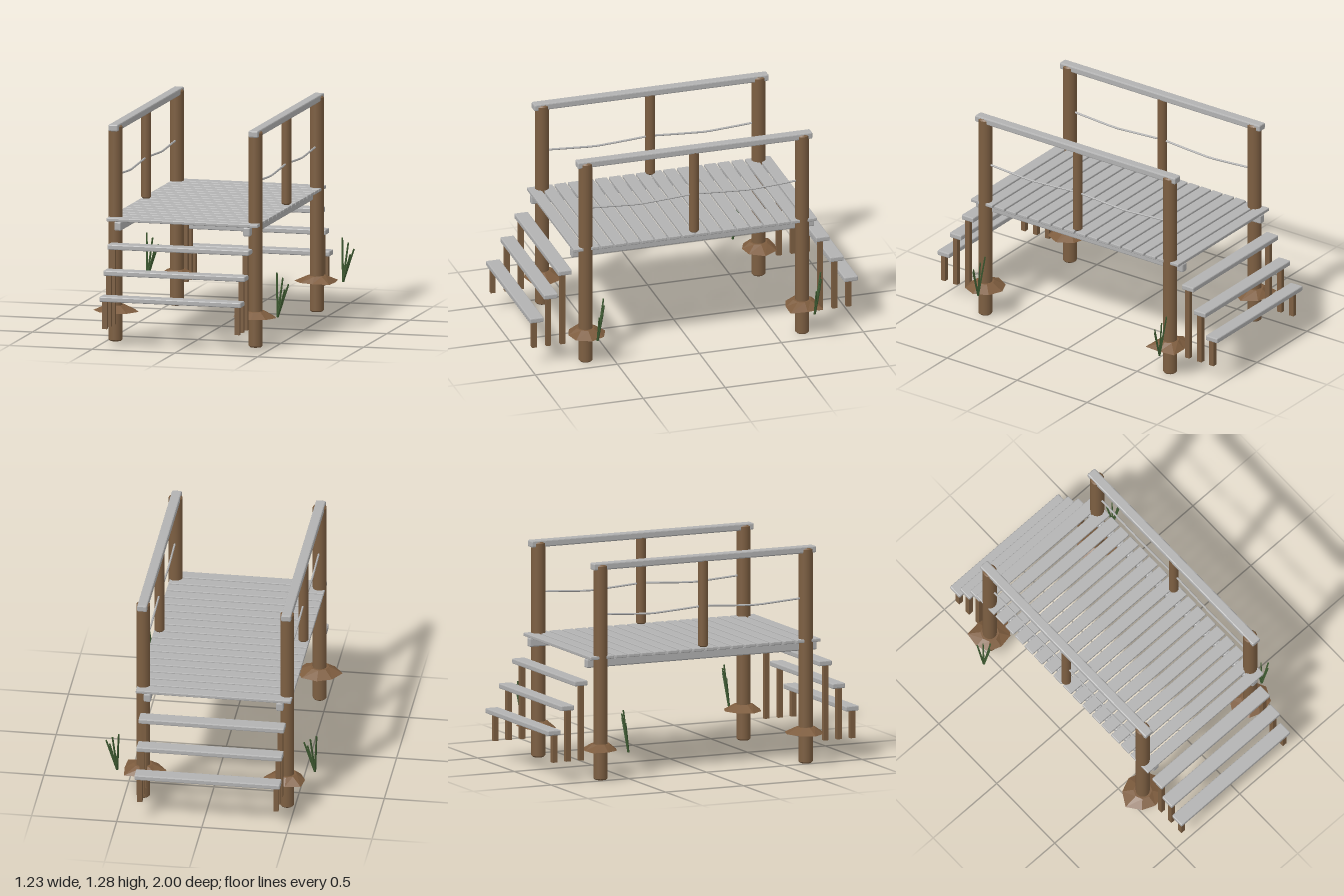
import * as THREE from 'three';
import { RoundedBoxGeometry } from 'three/addons/geometries/RoundedBoxGeometry.js';

const CX = -0.03; // centre line of the bridge

export function createModel() {
  const root = new THREE.Group();
  root.name = 'footbridge';
  const mat = (name, color, flatShading = false) => {
    const m = new THREE.MeshStandardMaterial({ color, flatShading });
    m.name = name;
    return m;
  };
  const plankGrey = mat('weatheredPlank', 0xb2b2b2, true);
  const logBrown = mat('logBrown', 0x7d5f42);
  const earthBrown = mat('earthBrown', 0x7d5c3e, true);
  const grassGreen = mat('grassGreen', 0x3e5a31, true);

  const add = (name, geo, material, x = 0, y = 0, z = 0) => {
    const m = new THREE.Mesh(geo, material);
    m.name = name;
    m.position.set(x, y, z);
    root.add(m);
    return m;
  };
  // Board with slightly chamfered edges, given by its bottom and top heights
  const board = (name, w, y0, y1, d, x, z, c = 0.005) =>
    add(name, new RoundedBoxGeometry(w, y1 - y0, d, 1, c), plankGrey, x, (y0 + y1) / 2, z);
  // Round log with softened ends
  const log = (name, r, y0, y1, x, z) => {
    const c = 0.008;
    const corners = [[0, y0], [r - c, y0], [r, y0 + c], [r, y1 - c], [r - c, y1], [0, y1]];
    const pts = [];
    corners.forEach(([a, b], i) => {
      // doubled corners keep the rims crisp
      pts.push(new THREE.Vector2(a, b));
      if (i > 0 && i < 5) pts.push(new THREE.Vector2(a, b));
    });
    return add(name, new THREE.LatheGeometry(pts, 16), logBrown, x, 0, z);
  };

  // Deck planks
  const pitch = 0.083;
  for (let i = 0; i < 18; i++) {
    board('deckPlank', 0.912, 0.713, 0.733, 0.071, CX, (i - 8.5) * pitch, 0.004);
  }

  for (const side of [-1, 1]) {
    const x = CX + side * 0.423;
    // Support beam, handrail and posts
    board('beam', 0.042, 0.66, 0.712, 1.48, CX + side * 0.389, 0, 0.007);
    board('handrail', 0.058, 1.24, 1.28, 1.43, x, 0, 0.007);
    for (const z of [-0.66, 0.66]) log('post', 0.041, 0, 1.27, x, z);
    log('middlePost', 0.029, 0.735, 1.26, x, 0);

    // Sagging rope between the posts
    for (const end of [-1, 1]) {
      const path = new THREE.CurvePath();
      const p = [[0.64, 0.974], [0.5, 0.965], [0.34, 0.955], [0.18, 0.964], [0, 0.976]]
        .map(([z, y]) => new THREE.Vector3(x, y, z * end));
      for (let i = 0; i < 4; i++) path.add(new THREE.LineCurve3(p[i], p[i + 1]));
      add('rope', new THREE.TubeGeometry(path, 12, 0.006, 6), plankGrey);
    }
  }

  // Steps at both ends, each on two square legs
  for (const end of [-1, 1]) {
    for (let i = 0; i < 3; i++) {
      const z = end * (0.958 - i * 0.086);
      const y = 0.281 + i * 0.14;
      board('step', 0.855, y, y + 0.031, 0.084, CX, z, 0.006);
      for (const side of [-1, 1]) {
        const h = y - 0.119 + 0.004;
        add('stepLeg', new THREE.BoxGeometry(0.029, h, 0.03), logBrown,
          CX + side * 0.4, 0.119 + h / 2, z + 0.01);
      }
    }
  }

  // Uneven earth mounds round the posts; radii run round the rim
  const mounds = [
    [-0.453, 0.66, [0.14, 0.13, 0.11, 0.11, 0.135, 0.12, 0.12, 0.13]],
    [0.393, 0.66, [0.125, 0.12, 0.105, 0.11, 0.137, 0.12, 0.12, 0.12]],
    [-0.453, -0.66, [0.14, 0.12, 0.1, 0.1, 0.105, 0.13, 0.1, 0.12]],
    [0.393, -0.66, [0.11, 0.145, 0.1, 0.11, 0.137, 0.12, 0.1, 0.14]],
  ];
  for (const [x, z, radii] of mounds) {
    const geo = new THREE.CylinderGeometry(0.055, 1, 0.037, 8);
    const p = geo.attributes.position;
    for (let i = 0; i < p.count; i++) {
      const a = Math.atan2(p.getZ(i), p.getX(i));
      const len = Math.hypot(p.getX(i), p.getZ(i));
      if (len < 0.5) continue;
      const r = radii[(Math.round(a / (Math.PI / 4)) + 8) % 8];
      p.setX(i, r * Math.cos(a));
      p.setZ(i, r * Math.sin(a));
    }
    geo.computeVertexNormals();
    add('earthMound', geo, earthBrown, x, 0.1935, z);
  }

  // Grass tufts: blade tips relative to the root
  const tips = [[-0.015, 0.255, -0.04], [0.023, 0.228, -0.032], [0.063, 0.195, -0.012], [0.045, 0.165, 0.004]];
  const up = new THREE.Vector3(0, 1, 0);
  for (const [x, z] of [[-0.6, -0.55], [0.515, 0.625], [0.542, -0.69]]) {
    for (const t of tips) {
      const dir = new THREE.Vector3(...t);
      const blade = add('grassBlade', new THREE.CylinderGeometry(0.005, 0.007, dir.length(), 4), grassGreen,
        x + t[0] / 2, 0.175 + t[1] / 2, z + t[2] / 2);
      blade.quaternion.setFromUnitVectors(up, dir.normalize());
    }
  }
  return root;
}
